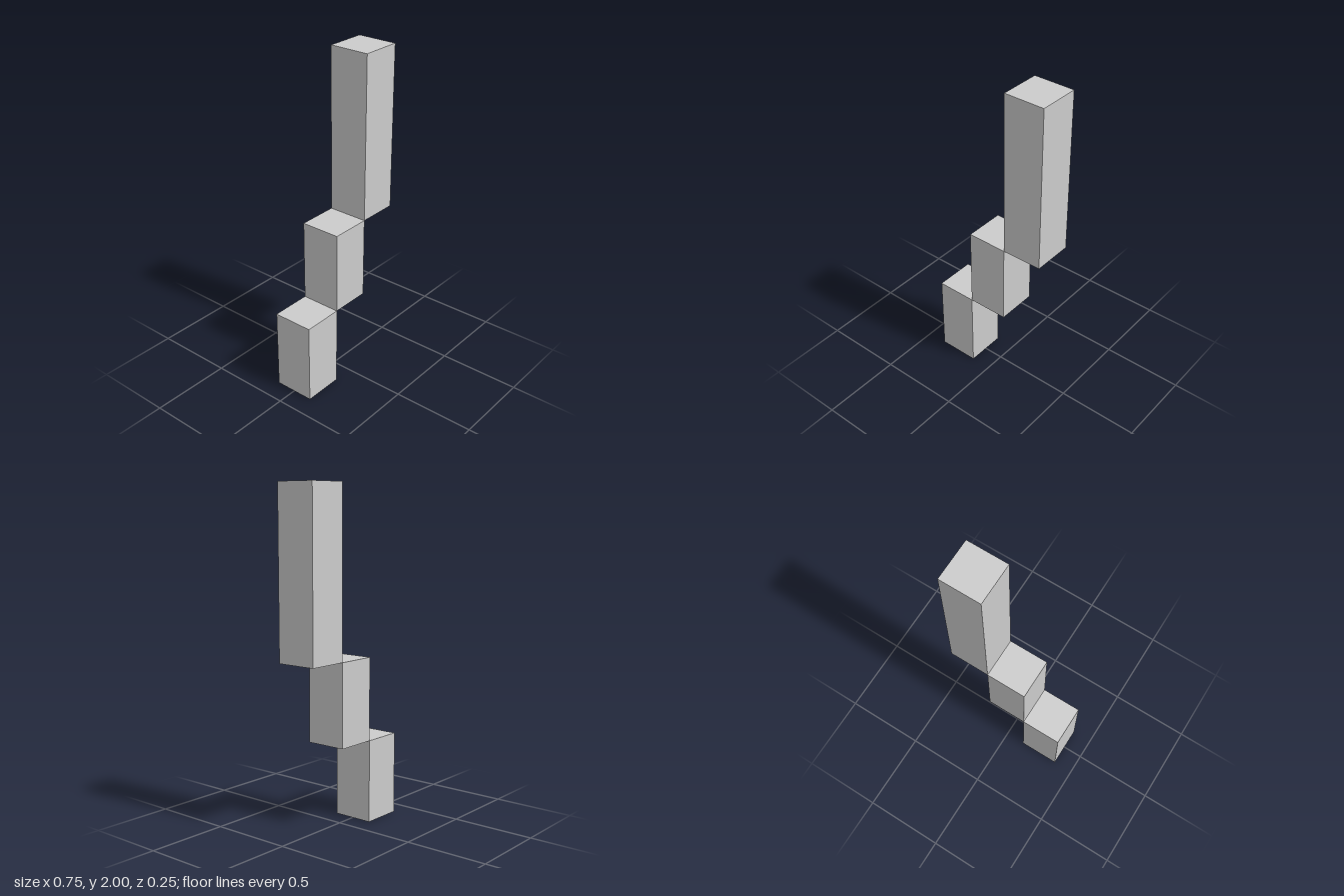
import * as THREE from 'three';

const WIDTH = 0.25; // square footprint of every block

export function createModel() {
  const group = new THREE.Group();
  group.name = 'steppedBlocks';
  const material = new THREE.MeshStandardMaterial({ color: 0xcccccc, flatShading: true });

  // Blocks climb towards +x, each starting at the height where the last one ends
  const blocks = [
    ['lowerBlock', 0.5],
    ['middleBlock', 0.5],
    ['upperBlock', 1],
  ];
  let base = 0;
  blocks.forEach(([name, height], i) => {
    const mesh = new THREE.Mesh(new THREE.BoxGeometry(WIDTH, height, WIDTH), material);
    mesh.name = name;
    mesh.position.set((i - 1) * WIDTH, base + height / 2, 0);
    group.add(mesh);
    base += height;
  });
  return group;
}
